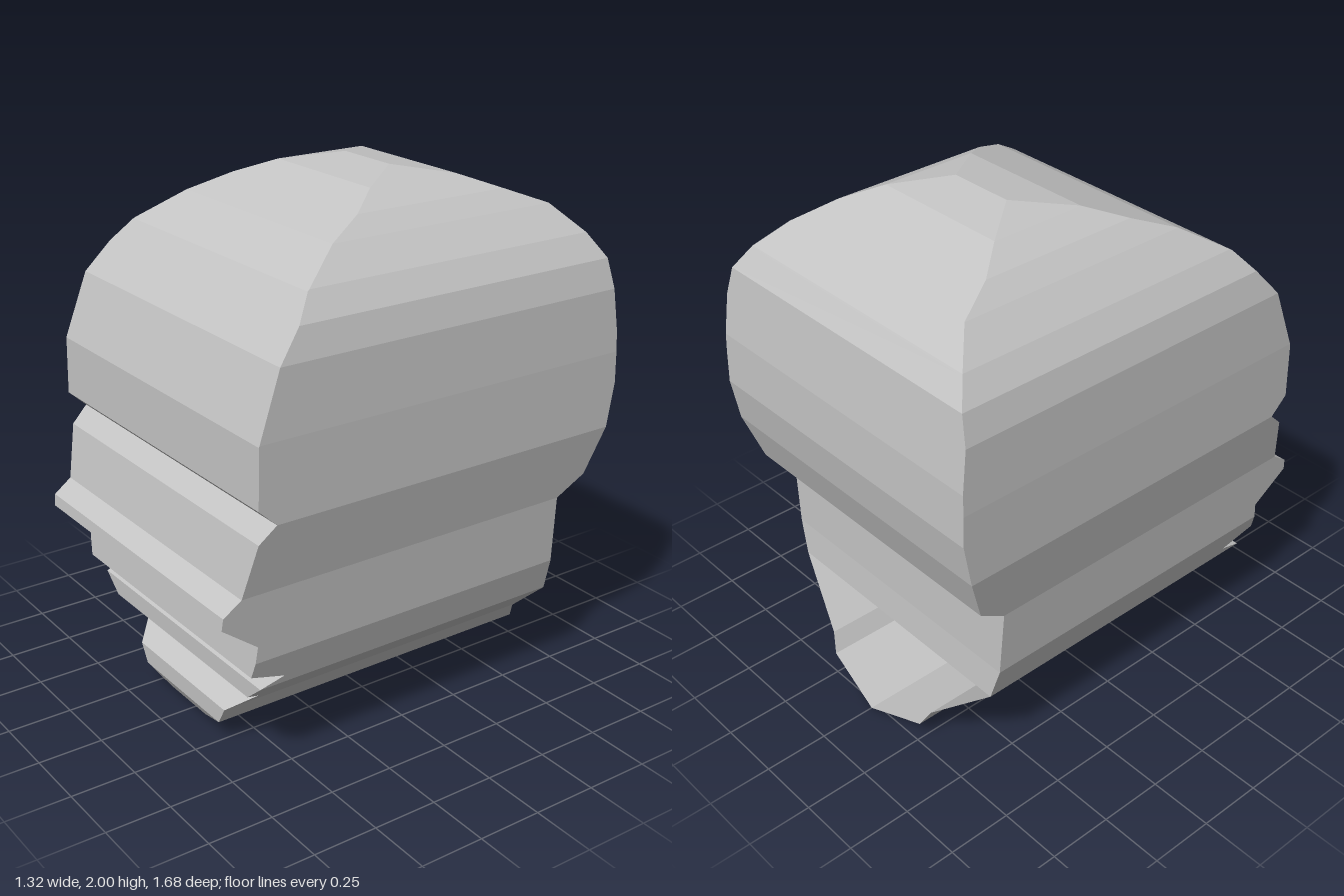
import * as THREE from 'three';

// Outlines as [height, value] pairs, bottom to top
const halfWidth = [[0, 0], [0.085, 0.26], [0.155, 0.3], [0.365, 0.55], [0.5, 0.59], [0.77, 0.61],
  [1.03, 0.66], [1.32, 0.66], [1.56, 0.65], [1.67, 0.62], [1.76, 0.56], [1.86, 0.46],
  [1.92, 0.385], [1.97, 0.28], [2, 0.13]];
const frontZ = [[0, 0.55], [0.04, 0.63], [0.085, 0.655], [0.155, 0.655], [0.23, 0.565], [0.295, 0.66],
  [0.365, 0.66], [0.395, 0.565], [0.44, 0.71], [0.565, 0.695], [0.675, 0.84], [0.72, 0.835],
  [0.77, 0.765], [0.97, 0.72], [1.03, 0.655], [1.095, 0.725], [1.315, 0.72], [1.56, 0.63],
  [1.755, 0.465], [1.86, 0.295], [1.97, 0.01], [2, -0.185]];
const backZ = [[0, -0.775], [0.365, -0.645], [0.5, -0.635], [0.77, -0.63], [0.845, -0.745], [1.03, -0.81],
  [1.2, -0.84], [1.4, -0.835], [1.67, -0.8], [1.76, -0.745], [1.86, -0.65], [1.97, -0.37], [2, -0.185]];

// Linear interpolation along an outline
function at(outline, y) {
  const i = Math.max(1, outline.findIndex(p => p[0] >= y));
  const [y0, a] = outline[i - 1], [y1, b] = outline[i];
  return a + (b - a) * (y - y0) / (y1 - y0);
}

export function createModel() {
  const group = new THREE.Group();
  group.name = 'head';
  const grey = new THREE.MeshStandardMaterial({ color: 0xc4c4c4, flatShading: true, side: THREE.DoubleSide });
  grey.name = 'plain grey';

  // Rectangular cross-section at every height where an outline bends
  const heights = [...new Set([...halfWidth, ...frontZ, ...backZ].map(p => p[0]))].sort((a, b) => a - b);
  const rings = heights.map(y => {
    const w = at(halfWidth, y), f = at(frontZ, y), b = at(backZ, y);
    return [[-w, f], [w, f], [w, b], [-w, b]].map(([x, z]) => new THREE.Vector3(x, y, z));
  });

  // One wall per side of the cross-section; the neck is open at the back below the nape
  const tri = new THREE.Triangle();
  ['face', 'leftSide', 'backOfHead', 'rightSide'].forEach((name, k) => {
    const n = (k + 1) % 4, points = [];
    for (let i = 0; i < rings.length - 1; i++) {
      if (name === 'backOfHead' && heights[i] < 0.36) continue;
      const lo = rings[i], hi = rings[i + 1];
      for (const t of [[lo[k], lo[n], hi[n]], [lo[k], hi[n], hi[k]]]) {
        if (tri.set(...t).getArea() > 1e-7) points.push(...t);
      }
    }
    const geometry = new THREE.BufferGeometry().setFromPoints(points);
    geometry.computeVertexNormals();
    const mesh = new THREE.Mesh(geometry, grey);
    mesh.name = name;
    group.add(mesh);
  });
  return group;
}
